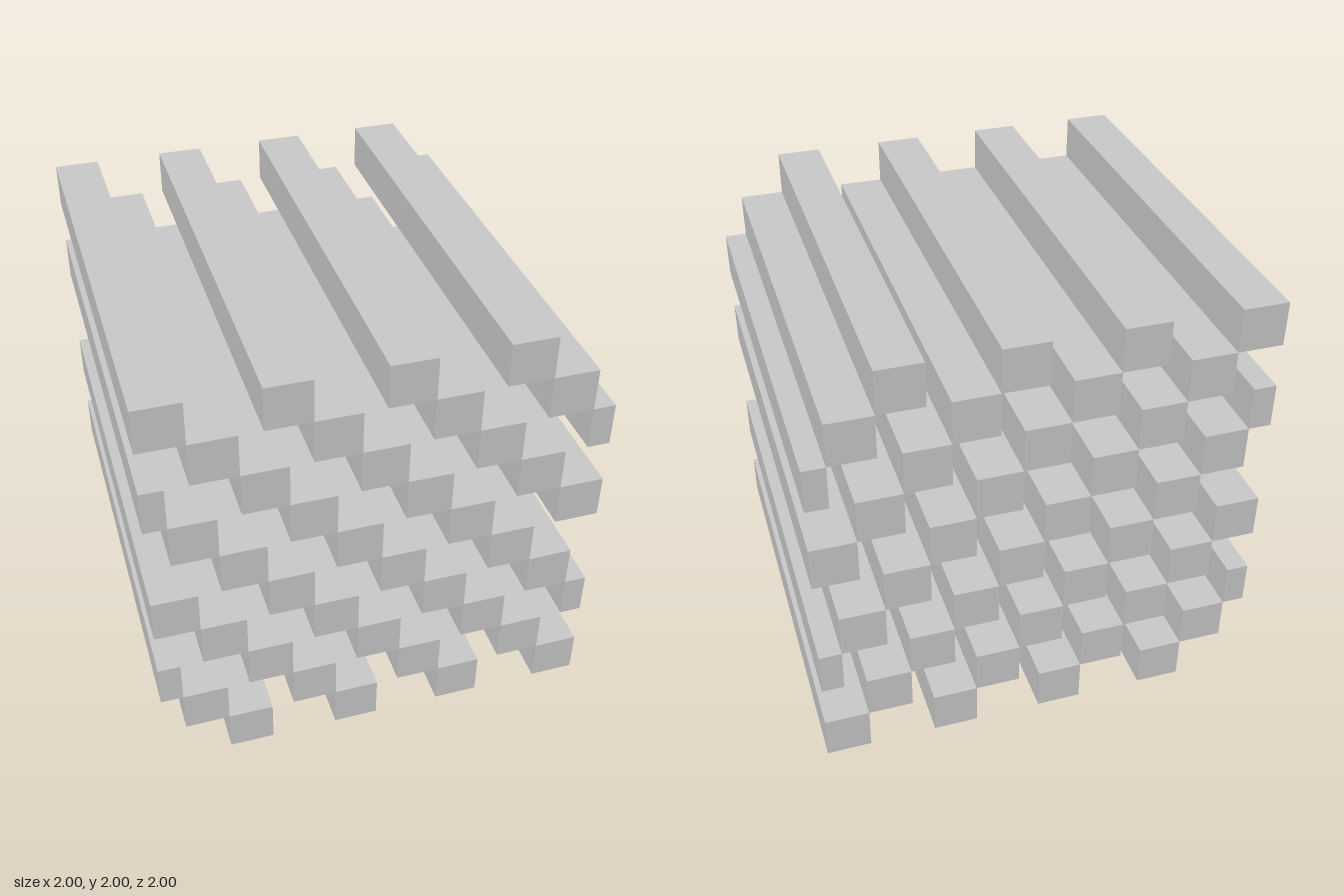
import * as THREE from 'three';

export function createModel() {
  const group = new THREE.Group();
  group.name = 'barLattice';
  const material = new THREE.MeshStandardMaterial({ color: 0xcccccc, flatShading: true });

  const rows = 10, thickness = 0.2, length = 2;

  // Each row of bars repeats every 0.5 and is shifted 0.2 to the right of the row above's
  // lower neighbour; bars are trimmed at the sides of the cube. x is counted in tenths.
  for (let row = 0; row < rows; row++) {
    const layer = new THREE.Group();
    layer.name = `barRow${row + 1}`;
    for (let start = -11; start < 10; start++) {
      if ((start + 7 + 2 * row) % 5 !== 0) continue;
      const x0 = Math.max(start, -10) / 10;
      const x1 = Math.min(start + 2, 10) / 10;
      const bar = new THREE.Mesh(new THREE.BoxGeometry(x1 - x0, thickness, length), material);
      bar.name = 'bar';
      bar.position.set((x0 + x1) / 2, (row + 0.5) * thickness, 0);
      layer.add(bar);
    }
    group.add(layer);
  }
  return group;
}
